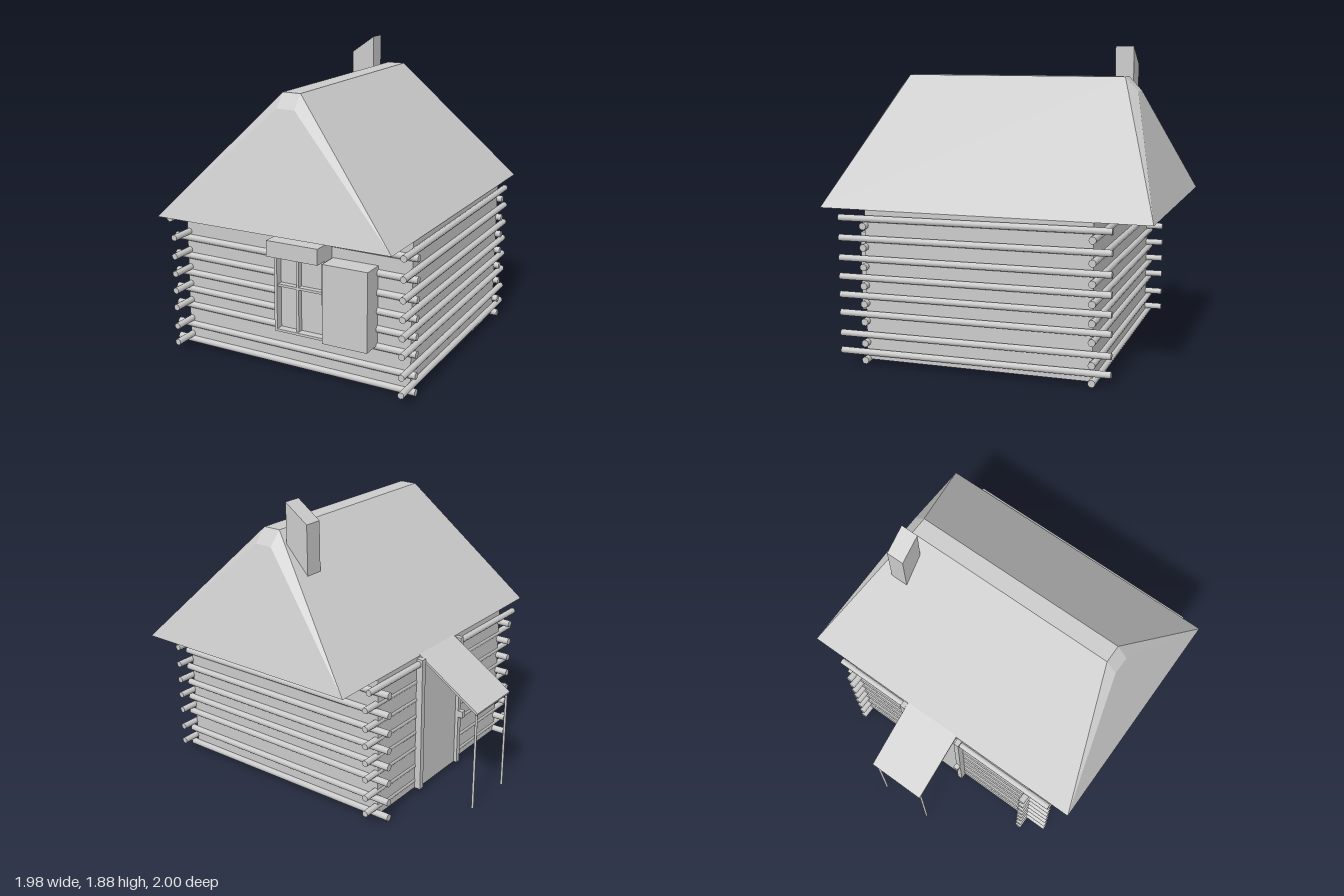
import * as THREE from 'three';

const grey = new THREE.MeshStandardMaterial({ color: 0xcccccc, side: THREE.DoubleSide });

function add(parent, name, geometry) {
  const mesh = new THREE.Mesh(geometry, grey);
  mesh.name = name;
  parent.add(mesh);
  return mesh;
}

// Box given by its minimum and maximum on each axis
function box(parent, name, x0, x1, y0, y1, z0, z1) {
  const mesh = add(parent, name, new THREE.BoxGeometry(x1 - x0, y1 - y0, z1 - z0));
  mesh.position.set((x0 + x1) / 2, (y0 + y1) / 2, (z0 + z1) / 2);
  return mesh;
}

// Round pole between two points
function pole(parent, name, a, b, radius) {
  const from = new THREE.Vector3(...a), to = new THREE.Vector3(...b);
  const mesh = add(parent, name, new THREE.CylinderGeometry(radius, radius, from.distanceTo(to), 10));
  mesh.position.copy(from).add(to).multiplyScalar(0.5);
  mesh.quaternion.setFromUnitVectors(new THREE.Vector3(0, 1, 0), to.sub(from).normalize());
  return mesh;
}

// Flat-sided solid from corner points and polygons, counter-clockwise from outside
function solid(corners, polygons) {
  const positions = [];
  for (const p of polygons)
    for (let i = 1; i < p.length - 1; i++)
      positions.push(...corners[p[0]], ...corners[p[i]], ...corners[p[i + 1]]);
  const geometry = new THREE.BufferGeometry();
  geometry.setAttribute('position', new THREE.Float32BufferAttribute(positions, 3));
  geometry.computeVertexNormals();
  return geometry;
}

function buildLogs(parent) {
  const logs = new THREE.Group();
  logs.name = 'wallLogs';
  parent.add(logs);
  const frontHeights = [0.042, 0.145, 0.275, 0.383, 0.492, 0.605, 0.722, 0.85];
  const sideHeights = [0.075, 0.182, 0.307, 0.417, 0.527, 0.64, 0.76, 0.88];
  // Front and back logs dip slightly towards +x
  for (const z of [0.708, -0.672])
    for (const y of frontHeights)
      pole(logs, 'crossLog', [-0.665, y, z], [0.988, y - 0.012, z], 0.022);
  // Side logs rise slightly towards the back
  for (const x of [-0.566, 0.965])
    sideHeights.forEach((y, i) => {
      const logX = x < 0 && i === 7 ? -0.593 : x;
      pole(logs, 'sideLog', [logX, y, 0.87], [logX, y + 0.009, -0.78], 0.02);
    });
}

function buildRoof(parent) {
  const corners = [
    [-0.58, 0.93, 1], [0.955, 0.93, 1], [0.955, 0.93, -1], [-0.58, 0.93, -1], // eaves
    [0.13, 1.61, 0.79], [0.245, 1.61, 0.79], [0.245, 1.61, -0.76], [0.13, 1.61, -0.76], // hip tops
    [0.13, 1.695, 0.72], [0.245, 1.695, 0.72], [0.245, 1.695, -0.68], [0.13, 1.695, -0.68], // ridge
  ];
  add(parent, 'roof', solid(corners, [
    [0, 1, 5, 4], [2, 3, 7, 6], // front and back hips
    [4, 5, 9, 8], [6, 7, 11, 10], // ridge bevels
    [8, 9, 10, 11], // flat ridge
    [1, 2, 10, 9], [3, 0, 8, 11], // long slopes
    [1, 9, 5], [2, 6, 10], [0, 4, 8], [3, 11, 7], // slivers beside the hips
    [0, 3, 2, 1], // underside
  ]));

  // Chimney with a slanted top
  const outline = new THREE.Shape([[-0.09, 1.38], [0.065, 1.38], [0.065, 1.875], [-0.09, 1.765]]
    .map(p => new THREE.Vector2(...p)));
  const chimney = add(parent, 'chimney',
    new THREE.ExtrudeGeometry(outline, { depth: 0.115, bevelEnabled: false }));
  chimney.position.z = -0.693;
}

function buildWindow(parent) {
  const win = new THREE.Group();
  win.name = 'window';
  parent.add(win);
  box(win, 'windowPane', 0.12, 0.43, 0.28, 0.76, 0.7, 0.75);
  box(win, 'windowJamb', 0.105, 0.123, 0.27, 0.76, 0.7, 0.8);
  box(win, 'windowJamb', 0.425, 0.443, 0.27, 0.76, 0.7, 0.8);
  box(win, 'windowSill', 0.105, 0.443, 0.265, 0.28, 0.7, 0.8);
  box(win, 'uprightBar', 0.247, 0.262, 0.28, 0.76, 0.74, 0.785);
  box(win, 'crossBar', 0.12, 0.43, 0.545, 0.56, 0.74, 0.785);
  box(win, 'lintel', 0.105, 0.443, 0.758, 0.855, 0.7, 0.885);
  box(win, 'shutter', 0.45, 0.74, 0.27, 0.755, 0.7, 0.845);
}

function buildEntrance(parent) {
  const entrance = new THREE.Group();
  entrance.name = 'entrance';
  parent.add(entrance);
  box(entrance, 'door', -0.6, -0.57, 0.03, 0.9, -0.24, 0.16);
  for (const z of [-0.26, 0.17])
    box(entrance, 'doorPost', -0.622, -0.57, 0.03, 0.92, z - 0.017, z + 0.017);
  box(entrance, 'doorHandle', -0.655, -0.615, 0.365, 0.41, 0.153, 0.187);

  // Sloping porch cover carried by two thin posts
  const cover = new THREE.Shape([[-0.575, 0.937], [-0.995, 0.662], [-0.99, 0.647], [-0.575, 0.92]]
    .map(p => new THREE.Vector2(...p)));
  const porch = add(entrance, 'porchCover',
    new THREE.ExtrudeGeometry(cover, { depth: 0.385, bevelEnabled: false }));
  porch.position.z = -0.243;
  for (const z of [0.135, -0.22])
    pole(entrance, 'porchPost', [-0.975, 0, z], [-0.975, 0.658, z], 0.008);
}

export function createModel() {
  const cabin = new THREE.Group();
  cabin.name = 'logCabin';
  box(cabin, 'walls', -0.58, 0.952, 0.03, 0.93, -0.67, 0.71);
  buildLogs(cabin);
  buildRoof(cabin);
  buildWindow(cabin);
  buildEntrance(cabin);
  return cabin;
}
